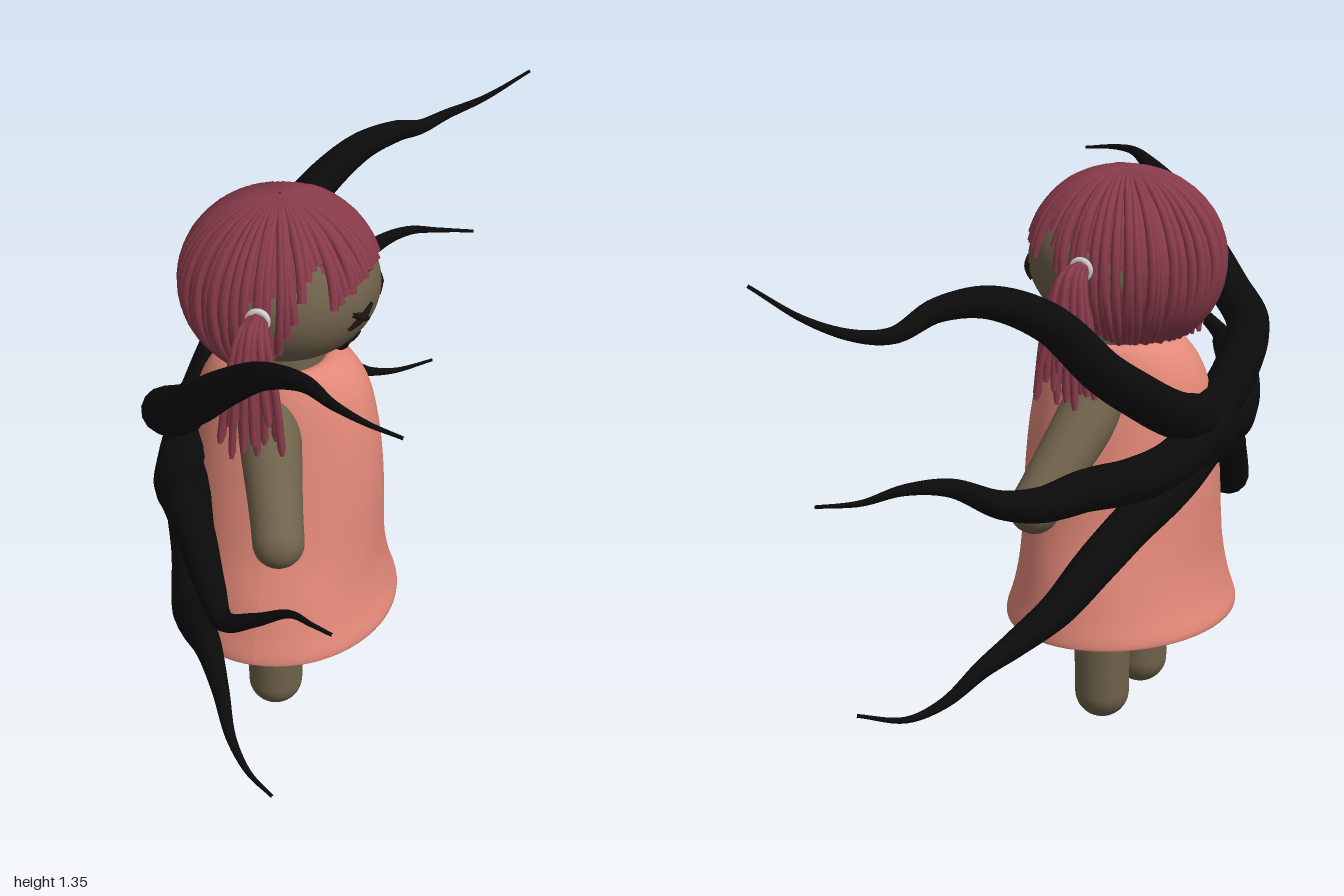
import * as THREE from 'three';

const mat = (color, side = THREE.FrontSide) => new THREE.MeshStandardMaterial({ color, side });
const V = (x, y, z) => new THREE.Vector3(x, y, z);
const spline = (pts) => new THREE.CatmullRomCurve3(pts.map((p) => (p.isVector3 ? p : V(...p))));
const { lerp, smoothstep } = THREE.MathUtils;
const CX = -0.075, CZ = 0.042; // body axis

export function createModel() {
  const model = new THREE.Group();
  const skin = mat(0x6f624b);
  const cloth = mat(0xe28878, THREE.DoubleSide);
  const hair = mat(0x8a3b4b, THREE.DoubleSide);
  const black = mat(0x0b0b0c);
  const thread = mat(0x1c1210);
  const tieMat = mat(0xcccccc);

  const add = (name, geo, material, parent = model) => {
    const mesh = new THREE.Mesh(geo, material);
    mesh.name = name;
    parent.add(mesh);
    return mesh;
  };
  const group = (name) => {
    const g = new THREE.Group();
    g.name = name;
    model.add(g);
    return g;
  };
  const ellipsoid = (name, c, r, material) => {
    const m = add(name, new THREE.SphereGeometry(1, 48, 32), material);
    m.position.set(...c);
    m.scale.set(...r);
  };
  // Round-ended limb between two points, tapering from radius ra to rb
  const limb = (name, a, b, ra, rb) => {
    const dir = b.clone().sub(a), len = dir.length();
    const geo = new THREE.CapsuleGeometry(rb, len, 12, 28, 8);
    const pos = geo.attributes.position;
    for (let i = 0; i < pos.count; i++) {
      const k = lerp(ra / rb, 1, smoothstep(pos.getY(i), -len / 2, len / 2));
      pos.setX(i, pos.getX(i) * k);
      pos.setZ(i, pos.getZ(i) * k);
    }
    const m = add(name, geo, skin);
    m.position.copy(a).addScaledVector(dir, 0.5);
    m.quaternion.setFromUnitVectors(V(0, 1, 0), dir.normalize());
  };
  // Tube whose radius follows a rule along its length
  const taperedTube = (curve, radiusAt, steps, sides) => {
    const geo = new THREE.TubeGeometry(curve, steps, 1, sides);
    const pos = geo.attributes.position, p = V(0, 0, 0);
    for (let i = 0; i <= steps; i++) {
      const c = curve.getPointAt(i / steps), r = radiusAt(i / steps);
      for (let j = 0; j <= sides; j++) {
        const k = i * (sides + 1) + j;
        p.fromBufferAttribute(pos, k).sub(c).multiplyScalar(r).add(c);
        pos.setXYZ(k, p.x, p.y, p.z);
      }
    }
    return geo;
  };

  // Body, head, legs and arms
  const HEAD = { c: [CX, 1.13, CZ], r: [0.225, 0.178, 0.222] };
  ellipsoid('head', HEAD.c, HEAD.r, skin);
  ellipsoid('torso', [CX, 0.6, CZ], [0.16, 0.32, 0.17], skin);
  add('neck', new THREE.CylinderGeometry(0.09, 0.1, 0.16, 32), skin).position.set(CX, 0.92, CZ);
  for (const s of [1, -1]) {
    const z = CZ + s * 0.12;
    limb(s > 0 ? 'rightLeg' : 'leftLeg', V(CX, 0.45, z), V(CX, 0.071, z), 0.073, 0.066);
  }
  limb('rightArm', V(-0.08, 0.83, 0.18), V(0.005, 0.668, 0.435), 0.074, 0.06);
  limb('leftArm', V(-0.08, 0.83, -0.1), V(-0.005, 0.605, -0.31), 0.074, 0.06);

  // Dress: rows of [half depth z, height, half width x], open at the hem
  const rows = spline([
    [0.316, 0.267, 0.26], [0.327, 0.256, 0.27], [0.327, 0.268, 0.272], [0.312, 0.32, 0.256], [0.29, 0.4, 0.241],
    [0.255, 0.5, 0.238], [0.225, 0.62, 0.237], [0.195, 0.75, 0.226], [0.168, 0.86, 0.203],
    [0.152, 0.91, 0.175], [0.139, 0.938, 0.143], [0.122, 0.947, 0.115], [0.104, 0.94, 0.098], [0.098, 0.92, 0.094],
  ]).getPoints(78);
  const dressGeo = new THREE.LatheGeometry(rows.map((p) => new THREE.Vector2(p.x, p.y)), 64);
  const dp = dressGeo.attributes.position;
  for (let i = 0; i < dp.count; i++) {
    const row = rows[i % rows.length];
    dp.setX(i, dp.getX(i) * row.z / row.x);
  }
  dressGeo.computeVertexNormals();
  add('dress', dressGeo, cloth).position.set(CX, 0, CZ);

  // Stitched face, laid on the head's surface
  const face = group('face');
  const onFace = ([y, z]) => {
    const a = (y - HEAD.c[1]) / HEAD.r[1], b = (z - CZ) / HEAD.r[2];
    return V(CX + HEAD.r[0] * Math.sqrt(Math.max(0, 1 - a * a - b * b)) + 0.002, y, z);
  };
  const stitch = (name, pts) =>
    add(name, taperedTube(spline(pts.map(onFace)), (t) => 0.004 + 0.006 * Math.sin(Math.PI * t), 12, 8), thread, face);
  for (const s of [1, -1]) {
    const z = CZ + s * 0.091, y = 1.106;
    for (const d of [1, -1]) {
      stitch('eyeStitch', [[y - 0.021 * d, z - 0.034], [y, z], [y + 0.021 * d, z + 0.034]]);
    }
  }
  stitch('mouth', [[1.014, 0.125], [1.002, 0.08], [1.003, 0.03], [1.006, -0.035]]);
  for (const [z, lean] of [[0.1, 0.012], [0.06, -0.01], [0.025, -0.022], [-0.003, -0.032]]) {
    stitch('mouthStitch', [[0.992, z - lean], [1.006, z], [1.024, z + lean]]);
  }

  // Hair: strands run from the crown down to a hairline that depends on the angle from the face
  const hairline = (theta) => {
    const a = Math.abs(Math.atan2(Math.sin(theta), Math.cos(theta))) * 180 / Math.PI;
    let deg;
    if (a < 48) deg = 71 + 14 * (a / 48) ** 2;
    else if (a < 58) deg = 57;
    else if (a < 76) deg = lerp(62, 105, (a - 58) / 18);
    else deg = lerp(105, 139, smoothstep(a, 70, 105));
    return deg * Math.PI / 180;
  };
  const hairPoint = (theta, phi, k = 1) => V(
    -0.083 + 0.23 * k * Math.sin(phi) * Math.cos(theta),
    1.13 + 0.217 * k * Math.cos(phi),
    CZ + 0.224 * k * Math.sin(phi) * Math.sin(theta));
  const hairGroup = group('hair');
  const capGeo = new THREE.SphereGeometry(1, 120, 24);
  const cp = capGeo.attributes.position, uv = capGeo.attributes.uv;
  for (let i = 0; i < cp.count; i++) {
    const theta = Math.PI - Math.floor(i % 121) / 120 * Math.PI * 2;
    const p = hairPoint(theta, (1 - uv.getY(i)) * hairline(theta), 0.975);
    cp.setXYZ(i, p.x, p.y, p.z);
  }
  capGeo.computeVertexNormals();
  add('hairCap', capGeo, hair, hairGroup);
  const STRANDS = 76;
  for (let i = 0; i < STRANDS; i++) {
    const theta = (i + 0.5) / STRANDS * Math.PI * 2;
    const end = hairline(theta) + 0.025 * Math.sin(i * 2.4);
    const pts = [];
    for (let j = 0; j <= 7; j++) {
      const sway = 0.05 * Math.sin(i * 1.9) * Math.sin(Math.PI * j / 7);
      pts.push(hairPoint(theta + sway, 0.02 + (end - 0.02) * j / 7));
    }
    add('hairStrand', taperedTube(spline(pts), (t) => 0.004 + 0.0075 * Math.min(1, t * 2), 16, 7), hair, hairGroup);
  }

  // Pigtails: a tie and a spray of hanging strands on each side
  for (const s of [1, -1]) {
    const tail = group(s > 0 ? 'rightPigtail' : 'leftPigtail');
    const at = (x, y, out) => V(CX + x, y, CZ + s * out);
    const tie = add('hairTie', new THREE.TorusGeometry(0.022, 0.008, 10, 24), tieMat, tail);
    tie.position.copy(at(0, 1.155, 0.245));
    for (let i = 0; i < 24; i++) {
      const a = i * 2.4, r = Math.sqrt((i + 0.5) / 24);
      const dx = r * Math.cos(a), dz = r * Math.sin(a), drop = 0.905 + 0.05 * Math.sin(i * 1.7);
      const curve = spline([
        at(dx * 0.012, 1.145 + dz * 0.01, 0.21), at(dx * 0.016, 1.155 + dz * 0.013, 0.25),
        at(dx * 0.035, 1.13 + dz * 0.03, 0.295 + dz * 0.025), at(dx * 0.058, 1.04, 0.312 + dz * 0.055),
        at(dx * 0.08, drop, 0.32 + dz * 0.06),
      ]);
      add('pigtailStrand', taperedTube(curve, (t) => (t > 0.99 ? 0.005 : 0.0095), 20, 6), hair, tail);
    }
  }

  // Six tentacles growing from a root on the back
  const tentacles = {
    upperRightTentacle: [[-0.29, 0.76, 0.04], [-0.3, 0.83, 0.2], [-0.285, 0.92, 0.33], [-0.2, 0.99, 0.41],
      [-0.1, 1.09, 0.48], [0.01, 1.18, 0.56], [0.12, 1.228, 0.65], [0.2, 1.238, 0.735], [0.28, 1.232, 0.78], [0.36, 1.22, 0.8]],
    middleRightTentacle: [[-0.3, 0.74, 0.04], [-0.29, 0.71, 0.2], [-0.26, 0.73, 0.34], [-0.2, 0.775, 0.48],
      [-0.14, 0.77, 0.6], [-0.07, 0.745, 0.74], [-0.01, 0.74, 0.85], [0.07, 0.785, 0.89], [0.15, 0.835, 0.92], [0.21, 0.853, 0.97], [0.26, 0.855, 0.998]],
    lowerRightTentacle: [[-0.29, 0.72, 0.04], [-0.275, 0.65, 0.2], [-0.225, 0.54, 0.34], [-0.195, 0.48, 0.46],
      [-0.15, 0.515, 0.58], [-0.09, 0.545, 0.7], [-0.03, 0.525, 0.82], [0.01, 0.46, 0.89], [0.06, 0.415, 0.94], [0.13, 0.405, 0.998]],
    upperLeftTentacle: [[-0.29, 0.76, 0.04], [-0.28, 0.82, -0.14], [-0.25, 0.9, -0.28], [-0.21, 0.98, -0.39],
      [-0.13, 1.1, -0.48], [-0.04, 1.17, -0.6], [0.03, 1.172, -0.71], [0.075, 1.14, -0.82], [0.13, 1.15, -0.89], [0.22, 1.185, -0.935], [0.33, 1.255, -0.975]],
    middleLeftTentacle: [[-0.3, 0.74, 0.04], [-0.28, 0.7, -0.14], [-0.24, 0.7, -0.3], [-0.2, 0.72, -0.45],
      [-0.155, 0.722, -0.58], [-0.1, 0.745, -0.68], [-0.03, 0.805, -0.78], [0.04, 0.815, -0.86], [0.11, 0.795, -0.92], [0.2, 0.785, -0.955]],
    lowerLeftTentacle: [[-0.29, 0.71, 0.04], [-0.28, 0.65, -0.14], [-0.24, 0.59, -0.3], [-0.21, 0.535, -0.43],
      [-0.18, 0.475, -0.56], [-0.14, 0.435, -0.69], [-0.11, 0.41, -0.8], [-0.06, 0.355, -0.88], [0, 0.33, -0.945], [0.09, 0.345, -0.998]],
  };
  const tentacleRadius = (t) => 0.004 + 0.036 * (1 - smoothstep(t, 0.35, 1)) + 0.018 * (1 - t);
  for (const [name, pts] of Object.entries(tentacles)) {
    add(name, taperedTube(spline(pts), tentacleRadius, 80, 14), black);
  }
  ellipsoid('tentacleRoot', [-0.285, 0.735, CZ], [0.078, 0.095, 0.12], black);

  return model;
}
